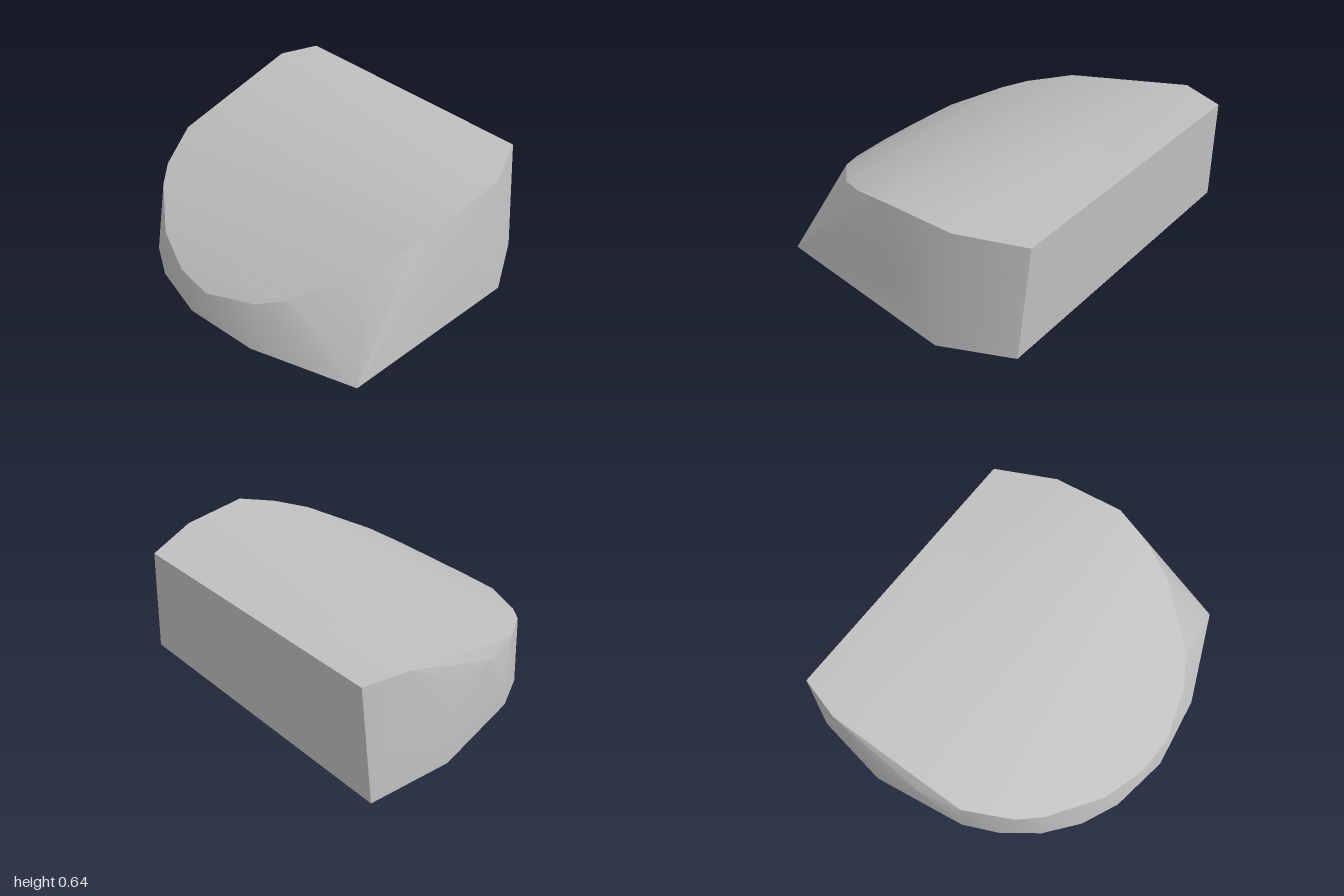
import * as THREE from 'three';
import { ConvexGeometry } from 'three/addons/geometries/ConvexGeometry.js';
import { toCreasedNormals } from 'three/addons/utils/BufferGeometryUtils.js';

// Flat base outline: [x, z]
const BASE = [
  [0.8, -0.85], [1, -0.5], [1, 0.57], [0.46, 0.79], [0.04, 0.85], [-0.3, 0.79],
  [-0.51, 0.69], [-0.69, 0.54], [-0.83, 0.35], [-0.92, 0.15], [-1, -0.4], [-0.93, -0.85],
];

// Rim of the sloping top: [x, y, z]
const RIM = [
  [0.72, 0.64, -0.85], [0.88, 0.64, -0.52], [0.93, 0.64, -0.12], [0.89, 0.56, 0.11],
  [0.81, 0.475, 0.31], [0.57, 0.3, 0.62], [0.42, 0.23, 0.72], [0.13, 0.16, 0.81],
  [-0.1, 0.165, 0.8], [-0.36, 0.22, 0.72], [-0.65, 0.3, 0.53], [-0.76, 0.34, 0.42],
  [-0.9, 0.42, 0.17], [-0.935, 0.64, -0.61], [-0.87, 0.64, -0.85],
];

// Bulges of the side walls and the chamfer corner
const SIDES = [[1, 0.22, -0.2], [-0.975, 0.43, -0.33], [-0.955, 0.42, -0.05]];

export function createModel() {
  const group = new THREE.Group();
  group.name = 'wedgeBlock';

  const grey = new THREE.MeshStandardMaterial({ color: 0xbfbfbf });
  grey.name = 'light grey';

  // Convex block between base and rim, soft facets with sharp borders
  const points = [...BASE.map(([x, z]) => [x, 0, z]), ...RIM, ...SIDES]
    .map((p) => new THREE.Vector3(...p));
  const block = new THREE.Mesh(toCreasedNormals(new ConvexGeometry(points), 0.58), grey);
  block.name = 'roundedWedge';
  group.add(block);
  return group;
}
